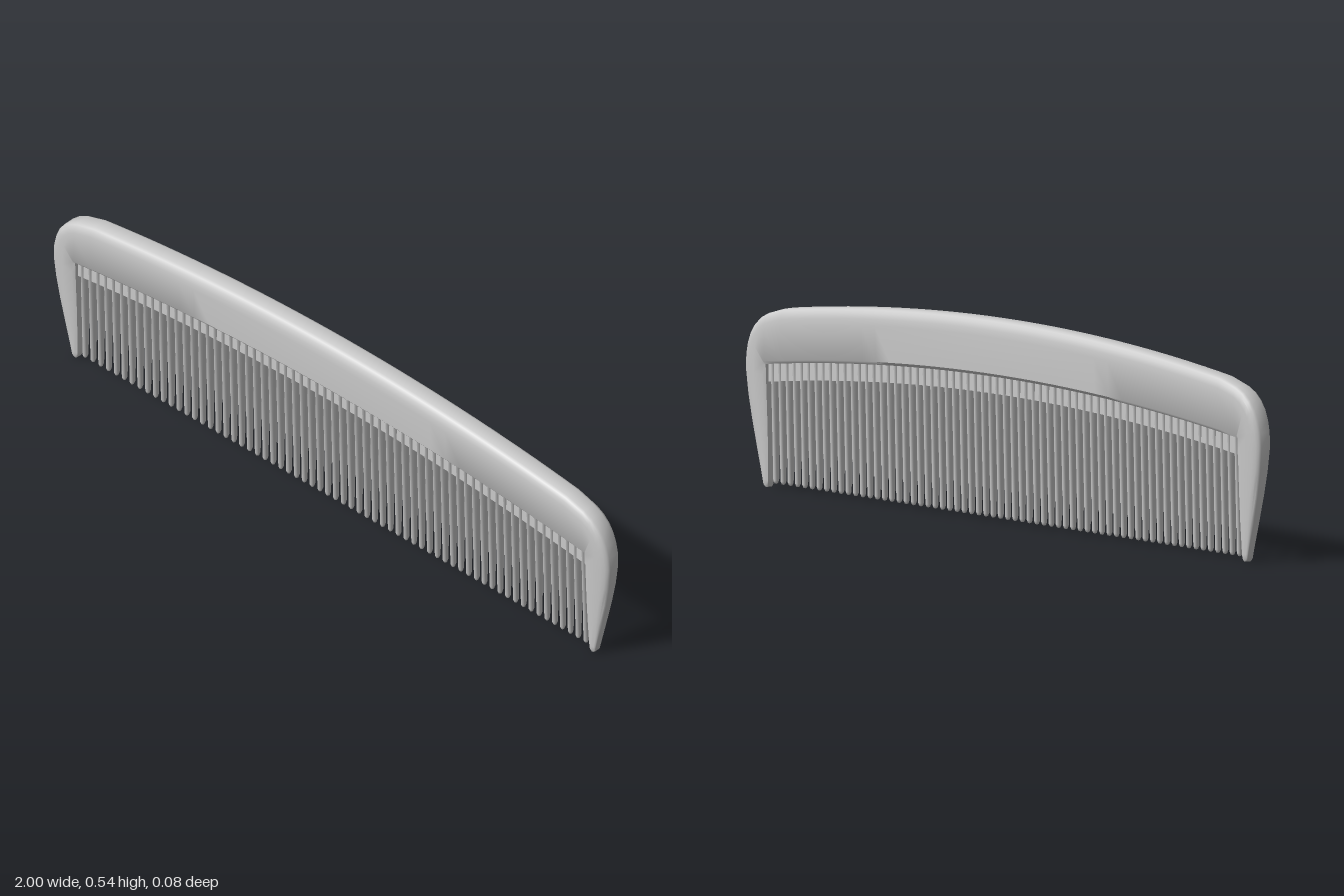
import * as THREE from 'three';
import { toCreasedNormals } from 'three/addons/utils/BufferGeometryUtils.js';

const material = new THREE.MeshStandardMaterial({ color: 0xcccccc });

const outerArch = x => 0.543 - 0.082 * x * x;
const innerArch = x => 0.392 - 0.062 * (x / 0.916) ** 2;
const halfDepth = y => 0.012 + 0.052 * Math.min(y, 0.5); // thick spine, thin tips

// Loft of sections, each spanning from the outer edge to the inner edge
function frameGeometry() {
  // half of the stations, centre to foot: [outerX, outerY, innerX, innerY]
  const half = [];
  for (let i = 0; i <= 16; i++) {
    const x = 0.85 * i / 16;
    half.push([x, outerArch(x), x, innerArch(x)]);
  }
  half.push(
    [0.91, 0.466, 0.916, 0.33], [0.938, 0.452, 0.916, 0.33], [0.96, 0.433, 0.916, 0.33],
    [0.977, 0.41, 0.916, 0.33], [0.989, 0.383, 0.916, 0.33], [0.997, 0.35, 0.916, 0.33],
    [1, 0.31, 0.916, 0.30], [0.993, 0.245, 0.916, 0.24], [0.981, 0.18, 0.916, 0.175],
    [0.963, 0.10, 0.917, 0.10], [0.944, 0.02, 0.92, 0.02], [0.941, 0.007, 0.921, 0.007],
    [0.935, 0, 0.925, 0]);
  const left = half.slice(1).reverse().map(([a, b, c, d]) => [-a, b, -c, d]);
  const stations = [...left, ...half];

  // [distance from outer edge, share of half depth]
  const rounding = [[0, 0.5], [0.004, 0.7], [0.012, 0.87], [0.027, 0.96], [0.045, 1]];
  const pos = [], index = [];
  const n = 2 * (rounding.length + 2);
  for (const [ox, oy, ix, iy] of stations) {
    const w = Math.hypot(ix - ox, iy - oy);
    const k = Math.min(1, 0.5 * w / 0.045);
    const front = rounding.map(([d, s]) => [d * k / w, s]);
    front.push([1 - Math.min(0.008, 0.25 * w) / w, 1], [1, 0.8]);
    const ring = [...front, ...front.map(([t, s]) => [t, -s]).reverse()];
    const end = oy < 0.004 ? 0.8 : 1;
    for (const [t, s] of ring) {
      const y = oy + (iy - oy) * t;
      pos.push(ox + (ix - ox) * t, y, s * end * halfDepth(y));
    }
  }
  const last = (stations.length - 1) * n;
  for (let i = 0; i < last; i += n) {
    for (let j = 0; j < n; j++) {
      const a = i + j, b = i + (j + 1) % n;
      index.push(a, b, b + n, a, b + n, a + n);
    }
  }
  for (let j = 1; j < n - 1; j++) index.push(0, j + 1, j, last, last + j, last + j + 1);
  const geo = new THREE.BufferGeometry();
  geo.setAttribute('position', new THREE.Float32BufferAttribute(pos, 3));
  geo.setIndex(index);
  return toCreasedNormals(geo, 0.65);
}

// Thin strip under the arch that joins the roots of the teeth
function webGeometry() {
  const shape = new THREE.Shape(), steps = 24, top = [], bottom = [];
  for (let i = 0; i <= steps; i++) {
    const x = -0.918 + 1.836 * i / steps;
    bottom.push(new THREE.Vector2(x, innerArch(x) - 0.048));
    top.unshift(new THREE.Vector2(x, innerArch(x) + 0.01));
  }
  shape.setFromPoints([...bottom, ...top]);
  return new THREE.ExtrudeGeometry(shape, { depth: 0.026, bevelEnabled: false }).translate(0, 0, -0.013);
}

// Rounded tooth, deeper towards its root
function toothGeometry(x) {
  const y0 = 0.01, y1 = innerArch(x) + 0.008;
  const profile = [[0, y0], [0.004, y0 + 0.002], [0.0065, y0 + 0.01], [0.0078, y1]]
    .map(p => new THREE.Vector2(...p));
  const geo = new THREE.LatheGeometry(profile, 10);
  const p = geo.attributes.position;
  for (let i = 0; i < p.count; i++) {
    p.setZ(i, p.getZ(i) * (1.3 + 3.4 * p.getY(i)));
  }
  geo.computeVertexNormals();
  return geo.translate(x, 0, 0);
}

export function createModel() {
  const group = new THREE.Group();
  group.name = 'comb';
  const add = (name, geometry, parent = group) => {
    const mesh = new THREE.Mesh(geometry, material);
    mesh.name = name;
    parent.add(mesh);
  };
  add('frame', frameGeometry());
  add('web', webGeometry());

  const teeth = new THREE.Group();
  teeth.name = 'teeth';
  group.add(teeth);
  const count = 65;
  for (let i = 0; i < count; i++) {
    add('tooth', toothGeometry(-0.9 + 1.8 * i / (count - 1)), teeth);
  }
  return group;
}
